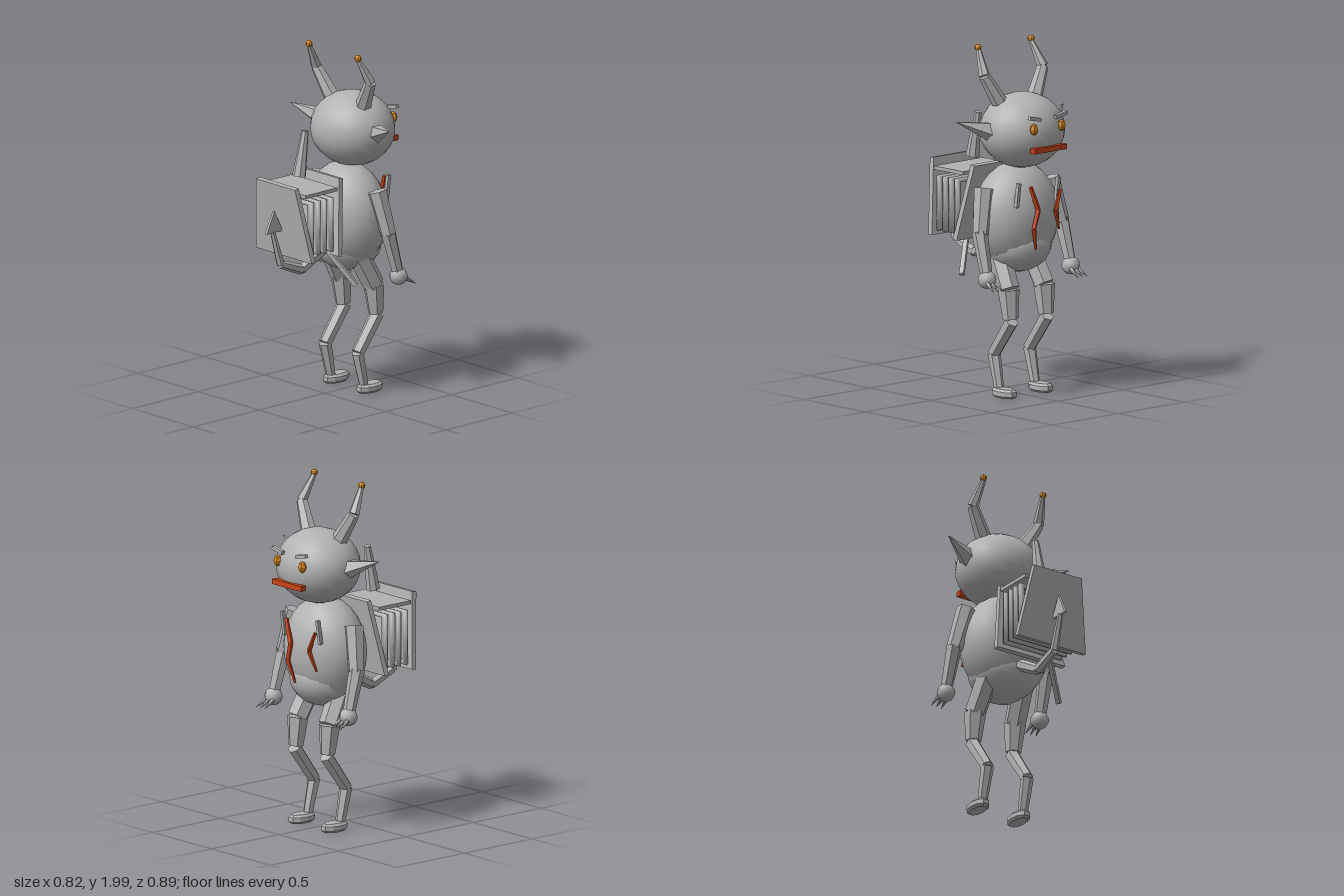
import * as THREE from 'three';

const grey = new THREE.MeshStandardMaterial({ name: 'plain grey', color: 0xb2b2b2 });
const amber = new THREE.MeshStandardMaterial({ name: 'amber', color: 0xd08218 });
const red = new THREE.MeshStandardMaterial({ name: 'rust red', color: 0xc8441a });

const V = (p) => new THREE.Vector3(...p);
const UP = new THREE.Vector3(0, 1, 0);

// faceted copy of a geometry
function flat(geo) {
  const g = geo.index ? geo.toNonIndexed() : geo;
  g.computeVertexNormals();
  return g;
}

function add(parent, name, geo, mat, pos = [0, 0, 0], rot = [0, 0, 0], scale = [1, 1, 1]) {
  const m = new THREE.Mesh(geo, mat);
  m.name = name;
  m.position.set(...pos);
  m.rotation.set(...rot);
  m.scale.set(...scale);
  parent.add(m);
  return m;
}

// faceted tapered bar between two points (r1 = 0 gives a spike)
function bar(parent, name, a, b, r0, r1, sides = 6, mat = grey) {
  const d = V(b).sub(V(a));
  const m = add(parent, name, flat(new THREE.CylinderGeometry(r1, r0, d.length(), sides)), mat);
  m.position.copy(V(a)).addScaledVector(d, 0.5);
  m.quaternion.setFromUnitVectors(UP, d.normalize());
  return m;
}

// run of bars through points [x, y, z, radius]
function limb(parent, name, pts, sides = 6, mat = grey) {
  for (let i = 0; i < pts.length - 1; i++) {
    const [a, b] = [pts[i], pts[i + 1]];
    bar(parent, name, a.slice(0, 3), b.slice(0, 3), a[3], b[3], sides, mat);
  }
}

function group(parent, name) {
  const g = new THREE.Group();
  g.name = name;
  parent.add(g);
  return g;
}

export function createModel() {
  const model = new THREE.Group();
  model.name = 'hornedCreature';

  // body masses
  const ball = new THREE.SphereGeometry(1, 20, 14);
  add(model, 'torso', ball, grey, [0, 1.02, -0.16], [0, 0, 0], [0.265, 0.305, 0.21]);
  add(model, 'pelvis', ball, grey, [0, 0.86, -0.17], [0, 0, 0], [0.2, 0.16, 0.187]);
  add(model, 'head', ball, grey, [0, 1.51, -0.21], [0, 0, 0], [0.25, 0.212, 0.23]);

  // mouth
  add(model, 'mouth', new THREE.BoxGeometry(0.245, 0.03, 0.035), red, [0, 1.43, -0.428]);

  // paired parts
  for (const s of [1, -1]) {
    const side = group(model, s > 0 ? 'leftSide' : 'rightSide');

    // face
    add(side, 'eye', flat(new THREE.SphereGeometry(0.03, 6, 4)), amber, [0.105 * s, 1.55, -0.42], [0, 0, 0], [0.9, 1.1, 0.75]);
    add(side, 'brow', new THREE.BoxGeometry(0.085, 0.02, 0.022), grey, [0.1 * s, 1.61, -0.42], [0, 0, 0.22 * s]);
    limb(side, 'horn', [[0.13 * s, 1.67, -0.17, 0.046], [0.222 * s, 1.83, -0.14, 0.032], [0.2 * s, 1.975, -0.065, 0.014]]);
    add(side, 'hornTip', flat(new THREE.SphereGeometry(0.02, 8, 6)), amber, [0.202 * s, 1.98, -0.065]);
    bar(side, 'ear', [0.22 * s, 1.525, -0.185], [0.412 * s, 1.59, -0.11], 0.057, 0, 5);

    // arm, hand and claws
    limb(side, 'arm', [[0.25 * s, 1.2, -0.165, 0.056], [0.308 * s, 0.95, -0.2, 0.045]]);
    limb(side, 'forearm', [[0.31 * s, 0.965, -0.195, 0.045], [0.318 * s, 0.73, -0.26, 0.034]]);
    add(side, 'hand', new THREE.SphereGeometry(0.052, 10, 8), grey, [0.318 * s, 0.705, -0.265]);
    for (const k of [-1, 0, 1]) {
      bar(side, 'claw', [(0.318 + 0.025 * k) * s, 0.69, -0.295], [(0.321 + 0.036 * k) * s, 0.648, -0.363], 0.015, 0, 6);
    }

    // leg and foot
    limb(side, 'thigh', [[0.115 * s, 0.84, -0.13, 0.065], [0.135 * s, 0.62, -0.245, 0.062], [0.135 * s, 0.455, -0.26, 0.044]]);
    limb(side, 'shin', [[0.135 * s, 0.445, -0.27, 0.041], [0.135 * s, 0.245, -0.125, 0.037], [0.137 * s, 0.055, -0.168, 0.028]]);
    const foot = new THREE.Shape();
    foot.absellipse(0, 0, 0.038, 0.073, 0, Math.PI * 2);
    const footGeo = new THREE.ExtrudeGeometry(foot, { depth: 0.025, curveSegments: 5, bevelSize: 0.013, bevelThickness: 0.013, bevelSegments: 1 });
    add(side, 'foot', footGeo, grey, [0.138 * s, 0.019, -0.212], [-Math.PI / 2, 0, 0]);

    // strap end on the chest
    add(side, 'strapEnd', new THREE.BoxGeometry(0.02, 0.14, 0.022), grey, [0.15 * s, 1.17, -0.335], [-0.14, 0, 0]);
  }

  // zigzag chest cracks
  limb(model, 'longCrack', [[0.086, 1.215, -0.372, 0.012], [0.037, 1.08, -0.383, 0.015], [0.066, 0.975, -0.378, 0.013], [0.03, 0.85, -0.355, 0.006]], 4, red);
  limb(model, 'shortCrack', [[-0.148, 1.17, -0.362, 0.01], [-0.105, 1.06, -0.372, 0.013], [-0.148, 0.945, -0.352, 0.006]], 4, red);

  // backpack: two leaning trapezoid plates
  const pack = group(model, 'backpack');
  const plate = new THREE.Shape();
  plate.moveTo(-0.23, -0.215);
  plate.lineTo(0.23, -0.215);
  plate.lineTo(0.16, 0.215);
  plate.lineTo(-0.16, 0.215);
  const plateGeo = new THREE.ExtrudeGeometry(plate, { depth: 0.03, bevelEnabled: false }).translate(0, 0, -0.015);
  add(pack, 'rearPlate', plateGeo, grey, [0, 1.08, 0.328], [0.145, 0, 0]);
  add(pack, 'innerPlate', plateGeo, grey, [0, 1.08, 0.06], [-0.165, 0, 0]);
  add(pack, 'lid', new THREE.BoxGeometry(0.37, 0.02, 0.24), grey, [0, 1.243, 0.195]);

  // square bellows hoops between the plates
  const hoop = new THREE.TorusGeometry(0.205, 0.019, 8, 4).rotateZ(Math.PI / 4);
  for (let i = 0; i < 4; i++) {
    add(pack, 'bellowsHoop', hoop, grey, [0, 1.05, 0.124 + 0.049 * i], [0, 0, 0], [1.24, 1, 1]);
  }

  // chimney and side lever
  bar(pack, 'chimney', [0, 1.305, 0.195], [0, 1.56, 0.15], 0.04, 0.02, 7);
  bar(pack, 'lever', [0.135, 0.88, 0.1], [0.262, 0.69, 0.003], 0.018, 0.018, 4);

  // tail with a flat arrow tip
  const tail = group(model, 'tail');
  limb(tail, 'tailSegment', [[0, 0.88, -0.04, 0.036], [0, 0.76, 0.18, 0.03], [0, 0.82, 0.335, 0.024], [0, 1.02, 0.395, 0.015]]);
  const arrow = new THREE.Shape();
  arrow.moveTo(-0.06, 0);
  arrow.lineTo(0.06, 0);
  arrow.lineTo(0, 0.125);
  const arrowGeo = new THREE.ExtrudeGeometry(arrow, { depth: 0.016, bevelEnabled: false }).translate(0, 0, -0.008);
  add(tail, 'tailTip', arrowGeo, grey, [0, 1.015, 0.387], [0, Math.PI / 2, 0]);

  return model;
}
